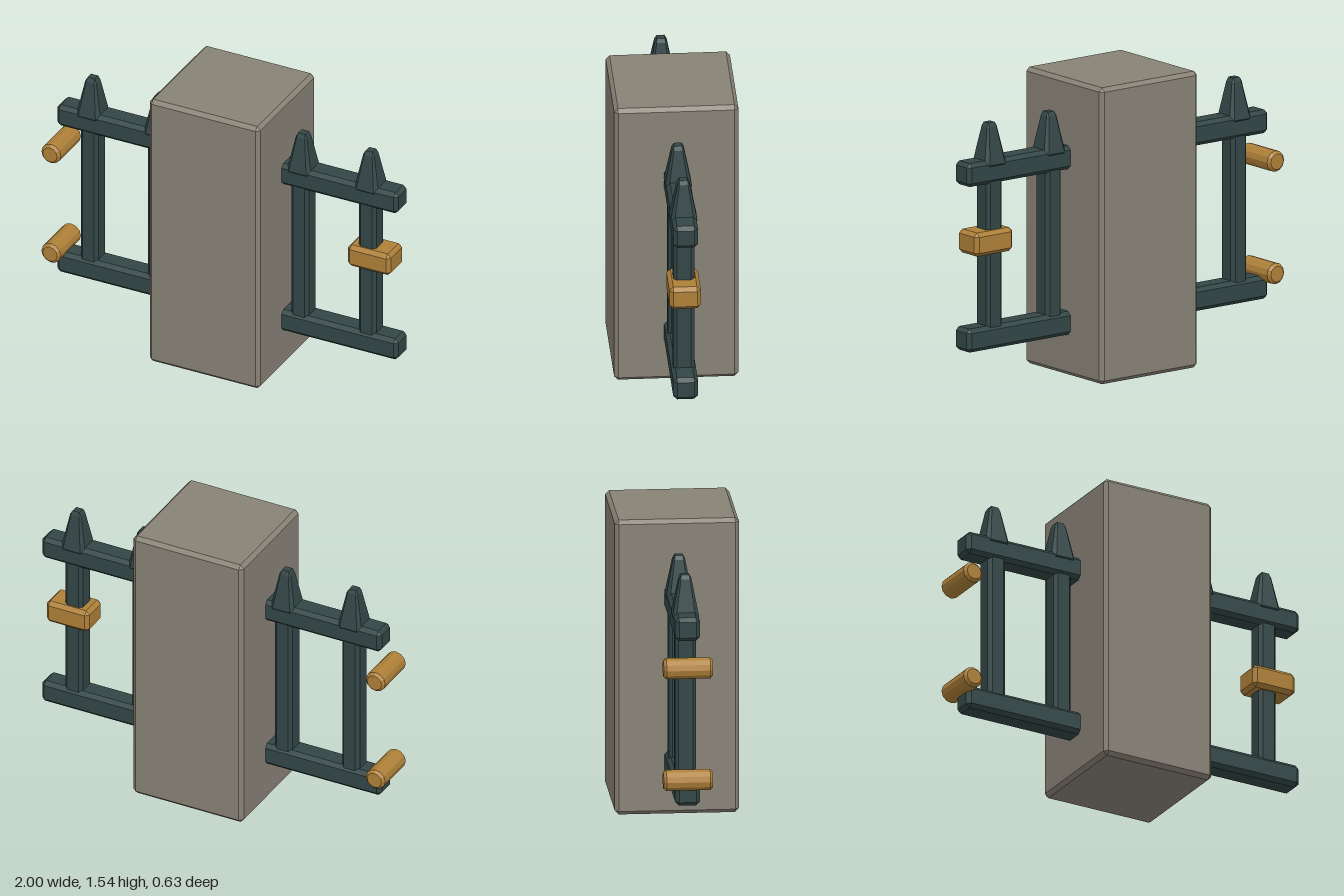
import * as THREE from 'three';
import { ConvexGeometry } from 'three/addons/geometries/ConvexGeometry.js';

const stone = new THREE.MeshStandardMaterial({ color: 0x888276 });
stone.name = 'stone';
const iron = new THREE.MeshStandardMaterial({ color: 0x334646 });
iron.name = 'dark iron';
const brass = new THREE.MeshStandardMaterial({ color: 0xae8038 });
brass.name = 'brass';

// Box with chamfered edges; taper scales the top in x and z
function chamferBox(w, h, d, c, taper = 1) {
  const points = [];
  for (const sx of [-1, 1]) for (const sy of [-1, 1]) for (const sz of [-1, 1]) {
    for (let axis = 0; axis < 3; axis++) {
      const inset = [c, c, c];
      inset[axis] = 0;
      const y = sy * (h / 2 - inset[1]);
      const k = 1 + (taper - 1) * (y / h + 0.5);
      points.push(new THREE.Vector3(sx * (w / 2 - inset[0]) * k, y, sz * (d / 2 - inset[2]) * k));
    }
  }
  return new ConvexGeometry(points);
}

// Round pin along z with bevelled ends and flat facets
function pinGeometry(r, length, c) {
  const h = length / 2;
  const profile = [[0, -h], [r - c, -h], [r, -h + c], [r, h - c], [r - c, h], [0, h]]
    .map(([x, y]) => new THREE.Vector2(x, y));
  const geometry = new THREE.LatheGeometry(profile, 12).rotateX(Math.PI / 2).toNonIndexed();
  geometry.computeVertexNormals();
  return geometry;
}

export function createModel() {
  const model = new THREE.Group();
  model.name = 'gatePillar';

  function add(parent, name, geometry, material, x, y, z = 0) {
    const mesh = new THREE.Mesh(geometry, material);
    mesh.name = name;
    mesh.position.set(x, y, z);
    parent.add(mesh);
  }

  // Stone pillar, slightly off centre
  const cx = 0.025;
  add(model, 'pillar', chamferBox(0.63, 1.54, 0.63, 0.02), stone, cx, 0.77);

  // Iron fence on each side of the pillar
  const rail = chamferBox(0.68, 0.122, 0.126, 0.02);
  const post = chamferBox(0.1, 0.88, 0.106, 0.017);
  const spike = chamferBox(0.144, 0.23, 0.144, 0.02, 0.38);
  for (const side of [-1, 1]) {
    const fence = new THREE.Group();
    fence.name = side > 0 ? 'leftFence' : 'rightFence';
    fence.position.x = cx;
    model.add(fence);
    for (const y of [0.275, 1.135]) add(fence, 'rail', rail, iron, side * 0.63, y);
    for (const x of [0.407, 0.79]) {
      add(fence, 'post', post, iron, side * x, 0.705);
      add(fence, 'spike', spike, iron, side * x, 1.267);
    }
  }

  // Brass latch on the left, hinge pins on the right
  add(model, 'latch', chamferBox(0.245, 0.123, 0.16, 0.02), brass, 0.838, 0.772);
  const pin = pinGeometry(0.055, 0.25, 0.014);
  for (const y of [0.353, 0.937]) add(model, 'hingePin', pin, brass, -0.945, y);

  return model;
}
